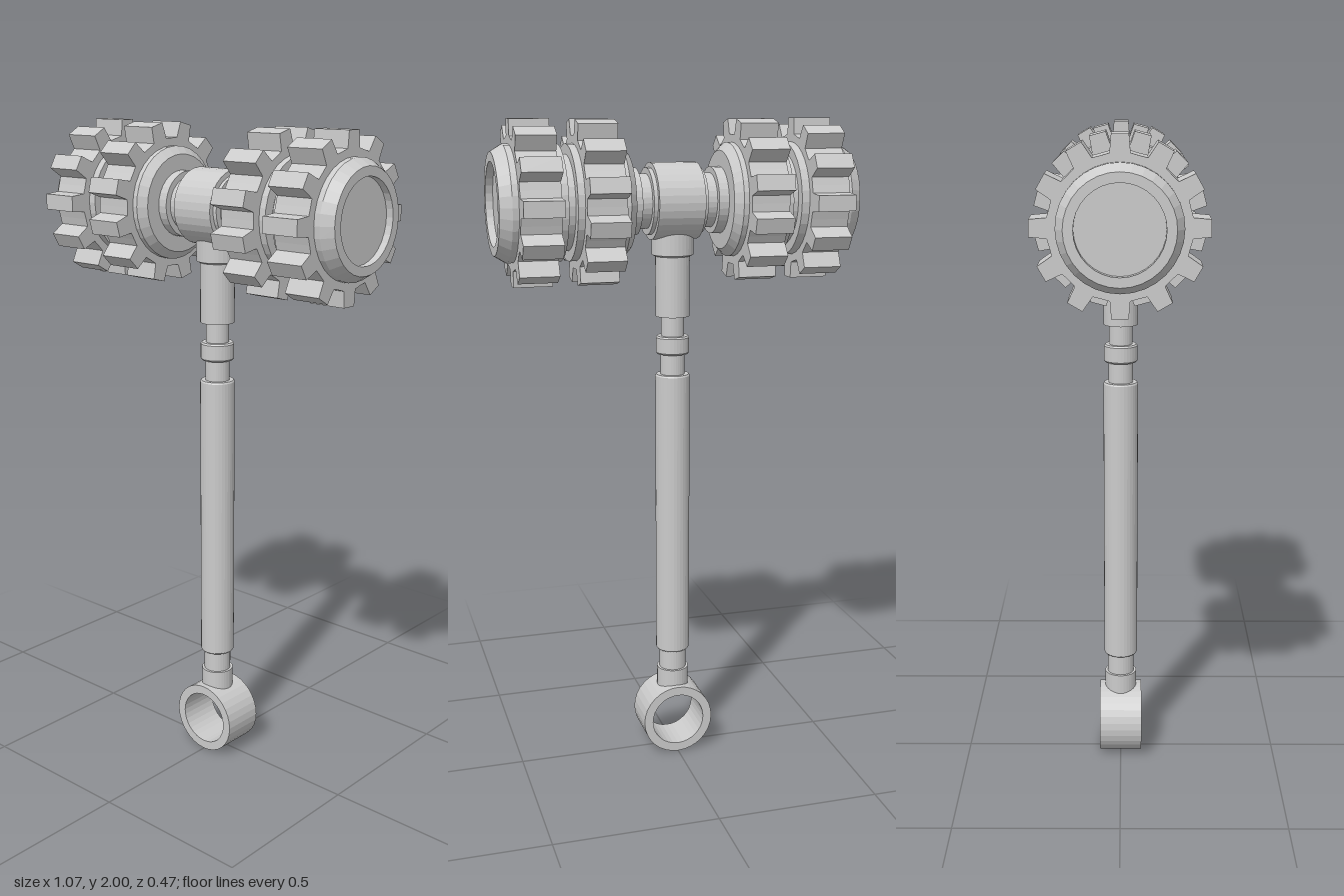
import * as THREE from 'three';

const SIDES = 32;
const HEAD_Y = 1.7625;
const material = new THREE.MeshStandardMaterial({ color: 0xcccccc, flatShading: true });

// Turned part from [radius, height] pairs, listed from bottom to top
function turned(name, profile) {
  const points = profile.map(([r, h]) => new THREE.Vector2(r, h));
  const mesh = new THREE.Mesh(new THREE.LatheGeometry(points, SIDES), material);
  mesh.name = name;
  return mesh;
}

// Toothed band lying along x, starting at the given x
function toothedBand(name, start, width, phase) {
  const teeth = 12, root = 0.19, tip = 0.2375, rootHalf = 0.027, tipHalf = 0.023;
  const points = [];
  for (let i = 0; i < teeth; i++) {
    const a = phase + (i / teeth) * Math.PI * 2;
    const add = (x, y) => points.push(new THREE.Vector2(x, y).rotateAround(new THREE.Vector2(), a));
    add(rootHalf, root);
    add(tipHalf, tip);
    add(-tipHalf, tip);
    add(-rootHalf, root);
    const mid = Math.PI / teeth;
    add(-root * Math.sin(mid), root * Math.cos(mid));
  }
  const geometry = new THREE.ExtrudeGeometry(new THREE.Shape(points), { depth: width, bevelEnabled: false });
  geometry.rotateY(Math.PI / 2);
  geometry.translate(start, 0, 0);
  const mesh = new THREE.Mesh(geometry, material);
  mesh.name = name;
  return mesh;
}

// One half of the head, pointing along +x
function hammerHalf(name) {
  const half = new THREE.Group();
  half.name = name;

  const neck = turned('headNeck', [
    [0.098, 0.06], [0.098, 0.082], [0.08, 0.082], [0.08, 0.115], [0.098, 0.115], [0.098, 0.16],
  ]);
  const drum = turned('drum', [
    [0, 0.145], [0.145, 0.145], [0.168, 0.167], [0.168, 0.32], [0.138, 0.32], [0.138, 0.345],
    [0.168, 0.345], [0.168, 0.503], [0.147, 0.537], [0.12, 0.537], [0.12, 0.515], [0, 0.515],
  ]);
  for (const part of [neck, drum]) {
    part.rotation.z = -Math.PI / 2;
    half.add(part);
  }

  // The two bands are turned half a tooth against each other
  half.add(toothedBand('innerToothedBand', 0.183, 0.116, Math.PI / 12));
  half.add(toothedBand('outerToothedBand', 0.369, 0.116, 0));
  return half;
}

export function createModel() {
  const model = new THREE.Group();
  model.name = 'hammer';

  // Head
  const head = new THREE.Group();
  head.name = 'head';
  head.position.y = HEAD_Y;
  const hub = turned('headHub', [[0, -0.07], [0.1125, -0.07], [0.1125, 0.07], [0, 0.07]]);
  hub.rotation.z = -Math.PI / 2;
  const left = hammerHalf('leftHammer');
  const right = hammerHalf('rightHammer');
  right.rotation.y = Math.PI;
  head.add(hub, left, right);
  model.add(head);

  // Handle: foot, grip, collar rings and socket under the head
  model.add(turned('handle', [
    [0, 0.203], [0.05, 0.203], [0.05, 0.275], [0.042, 0.275], [0.042, 0.34],
    [0.05, 0.34], [0.053, 0.345], [0.053, 1.237], [0.05, 1.242], [0.037, 1.242],
    [0.037, 1.305], [0.047, 1.305], [0.051, 1.31], [0.051, 1.355], [0.047, 1.36], [0.035, 1.36],
    [0.035, 1.42], [0.052, 1.42], [0.052, 1.6], [0.063, 1.605], [0.063, 1.7], [0, 1.7],
  ]));

  // Hanging ring at the bottom, its axis along z
  const ring = turned('hangingRing', [
    [0.084, -0.067], [0.112, -0.067], [0.112, 0.067], [0.084, 0.067], [0.084, -0.067],
  ]);
  ring.rotation.x = Math.PI / 2;
  ring.position.y = 0.112;
  model.add(ring);

  return model;
}
